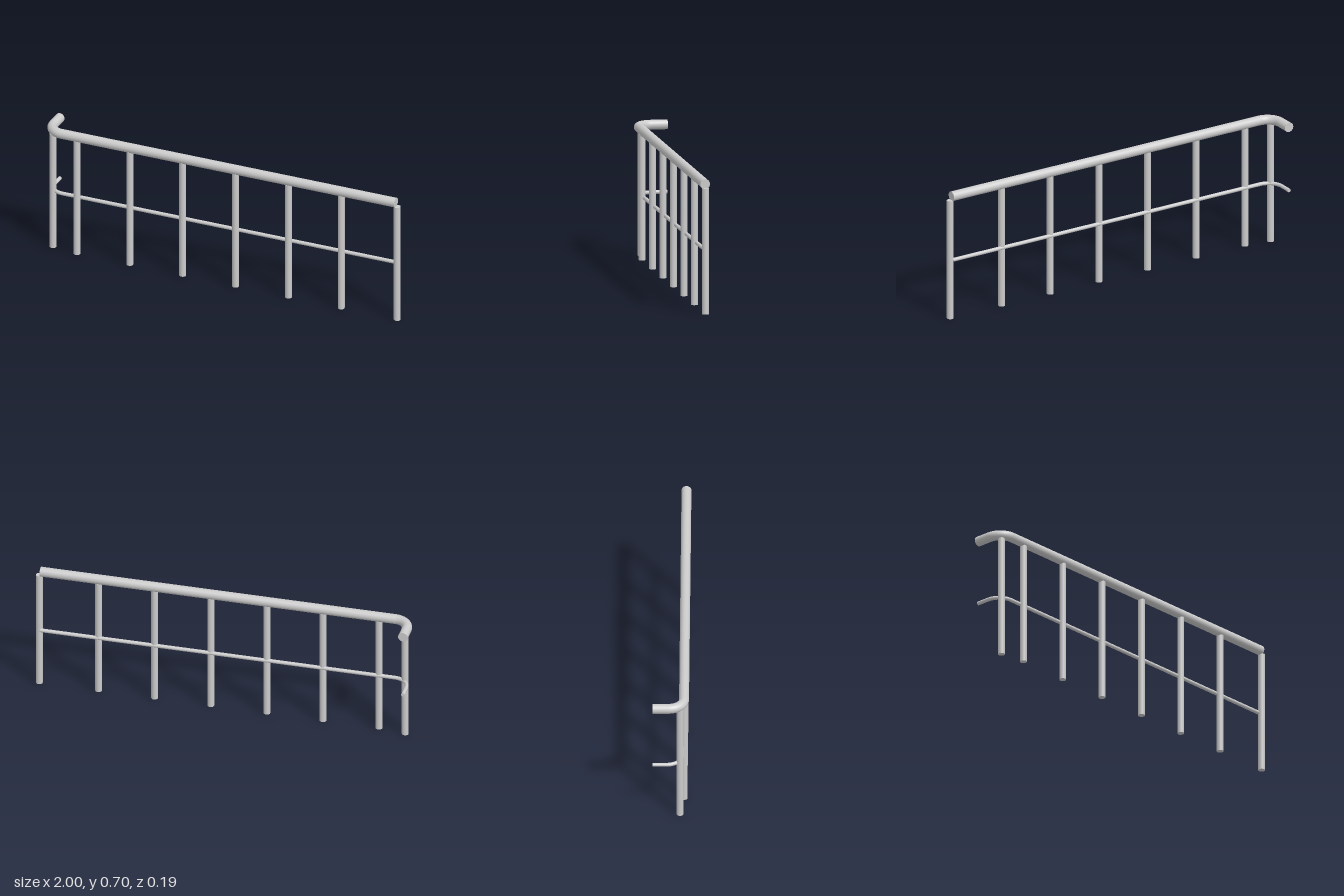
import * as THREE from 'three';

const material = new THREE.MeshStandardMaterial({ color: 0xcccccc });

// Straight run along x, a quarter bend, then a short return to the back.
function railPath(y, z, bend) {
  const left = -0.974, right = 0.975, back = -0.093;
  const points = [new THREE.Vector3(right, y, z)];
  const steps = 14;
  for (let i = 0; i <= steps; i++) {
    const a = (i / steps) * Math.PI / 2;
    points.push(new THREE.Vector3(
      left + bend - bend * Math.sin(a), y, z - bend + bend * Math.cos(a)));
  }
  points.push(new THREE.Vector3(left, y, back));
  const path = new THREE.CurvePath();
  for (let i = 1; i < points.length; i++) path.add(new THREE.LineCurve3(points[i - 1], points[i]));
  return path;
}

function rail(name, y, z, radius, bend) {
  const group = new THREE.Group();
  group.name = name;
  const path = railPath(y, z, bend);
  const tube = new THREE.Mesh(new THREE.TubeGeometry(path, 240, radius, 24, false), material);
  tube.name = name + 'Tube';
  group.add(tube);

  // Flat caps close both ends
  for (const [t, sign] of [[0, -1], [1, 1]]) {
    const cap = new THREE.Mesh(new THREE.CircleGeometry(radius, 24), material);
    cap.name = name + 'EndCap';
    cap.position.copy(path.getPointAt(t));
    cap.quaternion.setFromUnitVectors(
      new THREE.Vector3(0, 0, 1), path.getTangentAt(t).multiplyScalar(sign));
    group.add(cap);
  }
  return group;
}

export function createModel() {
  const model = new THREE.Group();
  model.name = 'railing';

  model.add(rail('handrail', 0.672, 0.0675, 0.0255, 0.08));
  model.add(rail('middleRail', 0.323, 0.058, 0.01, 0.08));

  // Posts: the first stands under the bend, the others under the straight run
  const postHeight = 0.652;
  const postGeometry = new THREE.CylinderGeometry(0.0178, 0.0178, postHeight, 24);
  const posts = [[-0.951, 0.047]];
  for (let i = 0; i < 6; i++) posts.push([-0.808 + i * 0.2955, 0.068]);
  posts.push([0.982, 0.068]);
  for (const [x, z] of posts) {
    const post = new THREE.Mesh(postGeometry, material);
    post.name = 'post';
    post.position.set(x, postHeight / 2, z);
    model.add(post);
  }
  return model;
}
